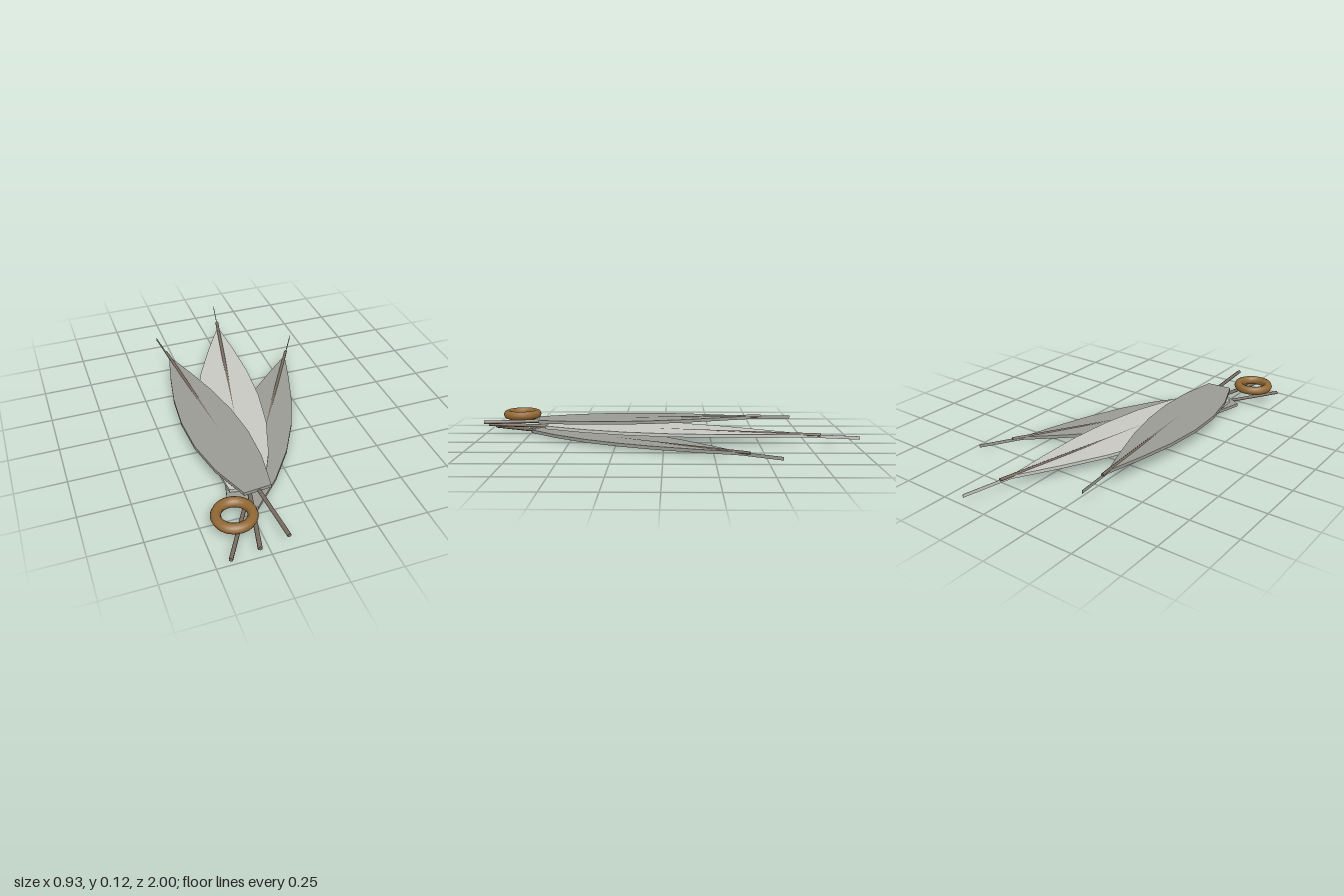
import * as THREE from 'three';

const grey = new THREE.MeshStandardMaterial({ name: 'grey vane', color: 0x9c9c96 });
const pale = new THREE.MeshStandardMaterial({ name: 'pale vane', color: 0xc9cac4 });
const shaft = new THREE.MeshStandardMaterial({ name: 'quill brown grey', color: 0x7d7063 });
const wood = new THREE.MeshStandardMaterial({ name: 'ring brown', color: 0x946a36 });

const THICK = 0.017;

function part(name, geometry, material) {
  const mesh = new THREE.Mesh(geometry, material);
  mesh.name = name;
  return mesh;
}

// Flat vane: the right side is narrower than the left
function vaneGeometry() {
  const widths = [0.075, 0.133, 0.158, 0.151, 0.118, 0.064];
  const left = widths.map((w, i) => new THREE.Vector2(-w, 0.3 + i * 0.198));
  const right = widths.map((w, i) => new THREE.Vector2(w * 0.8, 0.3 + i * 0.198));
  const outline = [...right, new THREE.Vector2(0, 1.49), ...left.reverse()];
  const geo = new THREE.ExtrudeGeometry(new THREE.Shape(outline), { depth: THICK, bevelEnabled: false });
  return geo.rotateX(-Math.PI / 2).translate(0, 0.0105, 0);
}

// Tapered quill, rising slightly towards the tip
function quillGeometry() {
  const a = new THREE.Vector3(0, 0.01, 0);
  const b = new THREE.Vector3(0, 0.027, -1.535);
  const dir = b.clone().sub(a);
  const geo = new THREE.CylinderGeometry(0.008, 0.0098, dir.length(), 6);
  geo.applyQuaternion(new THREE.Quaternion().setFromUnitVectors(new THREE.Vector3(0, 1, 0), dir.normalize()));
  return geo.translate(0, (a.y + b.y) / 2, b.z / 2);
}

function feather(name, start, end, y, material) {
  const g = new THREE.Group();
  g.name = name;
  const dx = end[0] - start[0], dz = end[1] - start[1];
  const s = Math.hypot(dx, dz) / 1.535;
  g.add(part('vane', vaneGeometry(), material));
  g.add(part('quill', quillGeometry(), shaft));
  // Hair-thin upright tip beyond the vane
  const tip = new THREE.BoxGeometry(0.0015, THICK, 0.215);
  g.add(part('vaneTip', tip.translate(0, 0.0105 + THICK / 2, -1.5925), material));
  g.position.set(start[0], y, start[1]);
  g.rotation.y = Math.atan2(-dx, -dz);
  g.scale.set(s, 1, s);
  return g;
}

export function createModel() {
  const model = new THREE.Group();
  model.name = 'featherCharm';

  // Three stacked, fanned feathers
  model.add(feather('lowerFeather', [-0.43, 0.98], [0.375, -0.42], 0, grey));
  model.add(feather('middleFeather', [-0.302, 0.99], [0.08, -0.81], 0.033, pale));
  model.add(feather('upperFeather', [-0.17, 0.99], [-0.305, -0.54], 0.067, grey));

  // Ring lying flat by the quill ends
  const ring = part('ring', new THREE.TorusGeometry(0.082, 0.0245, 8, 32).rotateX(Math.PI / 2), wood);
  ring.position.set(-0.357, 0.094, 0.812);
  model.add(ring);
  return model;
}
